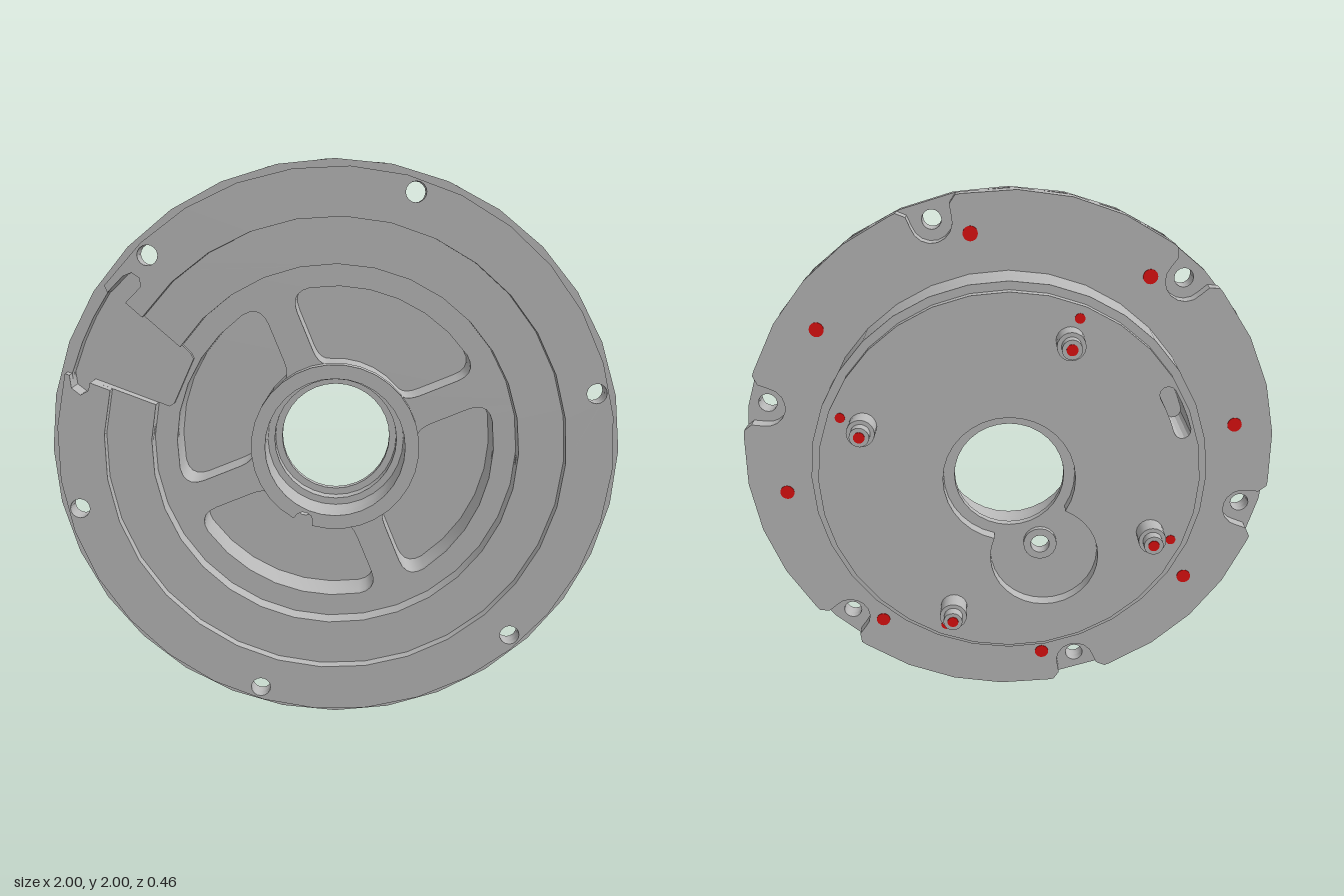
import * as THREE from 'three';
import { toCreasedNormals } from 'three/addons/utils/BufferGeometryUtils.js';

const metal = new THREE.MeshStandardMaterial({ color: 0xb8b8b8 });
metal.name = 'grey metal';
const red = new THREE.MeshStandardMaterial({ color: 0xe01010 });
red.name = 'red thread';

const RAD = Math.PI / 180;
const V = (x, y) => new THREE.Vector2(x, y);
const polar = (r, deg) => V(r * Math.cos(deg * RAD), r * Math.sin(deg * RAD));
const pts = (list) => list.map(([x, y]) => V(x, y));

// Points along an arc, angles in degrees
function arc(r, a0, a1, c = V(0, 0), step = 11.25) {
  const n = Math.max(2, Math.round(Math.abs(a1 - a0) / step));
  return Array.from({ length: n + 1 }, (_, i) => polar(r, a0 + (a1 - a0) * i / n).add(c));
}
const circle = (r, c, step) => arc(r, 0, 360, c, step).slice(0, -1);
const turn = (points, deg) => points.map((p) => p.clone().rotateAround(V(0, 0), deg * RAD));

// Corner rounded by a quadratic curve, without its end points
const corner = (a, b, c) => new THREE.QuadraticBezierCurve(a, b, c).getPoints(5);

// Axis of the cover is z; all positions are relative to its centre
const BOLT_ANGLES = [13, 73, 133, 193, 253, 313];
const PIN_ANGLES = [22, 112, 202, 292];
const BORE_PORT = polar(0.295, 247);

// Flange outline with a U-shaped notch at every bolt
function notchedOutline() {
  const out = [];
  for (const a of BOLT_ANGLES) {
    const notch = [V(0.994, -0.11), V(0.97, -0.08), ...arc(0.075, 270, 90, V(0.93, 0), 22.5), V(0.97, 0.08), V(0.994, 0.11)];
    out.push(...turn(notch, a), ...arc(1, a + 7.5, a + 52.5));
  }
  return out;
}

// Rounded pocket between two spokes, optionally bitten by the port
function pocket(deg, bitten) {
  const s = 0.055;
  const inner = bitten
    ? [...arc(0.295, 72, 52), ...arc(0.035, 135, 315, polar(0.295, 45), 30), ...arc(0.295, 38, 18)]
    : arc(0.295, 72, 18);
  return turn([
    ...arc(0.57, 13, 77),
    ...corner(polar(0.57, 77), V(s, 0.567), V(s, 0.49)),
    ...corner(V(s, 0.35), V(s, 0.29), polar(0.295, 72)),
    ...inner,
    ...corner(polar(0.295, 18), V(0.29, s), V(0.35, s)),
    ...corner(V(0.49, s), V(0.567, s), polar(0.57, 13)),
  ].filter((p, i, l) => i === 0 || p.distanceTo(l[i - 1]) > 1e-4).slice(0, -1), deg);
}

// Curved slot running through the cover
const slot = [
  ...arc(0.675, 150, 163, undefined, 4),
  ...arc(0.03, 163, 343, polar(0.645, 163), 30).slice(1, -1),
  ...arc(0.615, 163, 150, undefined, 4),
  ...arc(0.03, -30, 150, polar(0.645, 150), 30).slice(1, -1),
];

// Keyhole recess on the back: bore circle joined to a lower lobe
const keyhole = [
  ...arc(0.24, 283.2, 571.2),
  ...arc(0.2, 112, 382.4, V(-0.13, -0.31)).slice(1, -1),
];

// Ears of the side cutout in the front rim
const upperEar = pts([[-0.715, 0.52], [-0.66, 0.575], [-0.665, 0.605], [-0.69, 0.622], [-0.72, 0.61], [-0.775, 0.555]]);
const lowerEar = pts([[-0.92, 0.27], [-0.915, 0.225], [-0.885, 0.2], [-0.857, 0.215], [-0.85, 0.243]]);

export function createModel() {
  const model = new THREE.Group();
  const cover = new THREE.Group();
  cover.name = 'cover';
  cover.position.y = 1;
  model.add(cover);

  const add = (name, geometry, material = metal) => {
    const mesh = new THREE.Mesh(geometry, material);
    mesh.name = name;
    cover.add(mesh);
    return mesh;
  };
  // Flat layer between two depths, with holes
  const layer = (name, z0, z1, outline, holes = []) => {
    const shape = new THREE.Shape(outline);
    shape.holes = holes.map((h) => new THREE.Path(h));
    const g = new THREE.ExtrudeGeometry(shape, { depth: z1 - z0, bevelEnabled: false });
    g.translate(0, 0, z0);
    return add(name, toCreasedNormals(g, 0.5));
  };
  // Solid cylinder along z
  const rod = (name, r, z0, z1, at, material = metal) => {
    const g = new THREE.CylinderGeometry(r, r, z1 - z0, 20).rotateX(Math.PI / 2);
    add(name, g, material).position.set(at.x, at.y, (z0 + z1) / 2);
  };

  const port = circle(0.035, BORE_PORT, 22.5);
  const pockets = PIN_ANGLES.map((a) => pocket(a, a === 202));
  const boltHoles = BOLT_ANGLES.map((a) => circle(0.035, polar(0.93, a), 22.5));
  const notched = notchedOutline();

  // Rear boss
  layer('bossFace', -0.11, -0.075, circle(0.69), [keyhole, slot]);
  layer('bossShoulder', -0.075, -0.06, circle(0.72), [keyhole, slot]);
  layer('bossFloor', -0.06, -0.03, circle(0.72), [circle(0.2), port, slot]);
  layer('spokes', -0.03, 0.1, circle(0.72), [circle(0.25), slot, ...pockets]);
  layer('boreRidge', -0.03, 0.02, circle(0.252), [circle(0.225)]);
  layer('portCollar', -0.08, -0.06, circle(0.062, BORE_PORT, 18), [port]);

  // Hub ring with a bite for the port
  layer('hub', 0.12, 0.17, [
    ...arc(0.3, 254, 600),
    ...arc(0.035, 157, -23, BORE_PORT, 30),
  ], [circle(0.25)]);

  // Flange, stacked from back to front
  layer('flangeBack', 0.1, 0.12, notched, [circle(0.25), slot, ...pockets]);
  const ringArc = arc(0.65, 165.8, 506);
  layer('flangeCutoutFloor', 0.12, 0.14, notched.concat(), [
    [...ringArc, V(-0.51, 0.335), V(-0.5, 0.315), V(-0.573, 0.155), V(-0.59, 0.144)],
  ].slice(0, 1));
  const cutoutRing = [...ringArc, ...upperEar, ...arc(0.957, 145, 162.5, undefined, 6), ...lowerEar];
  layer('flangeMiddle', 0.14, 0.155, notched, [cutoutRing]);
  layer('flangeFront', 0.155, 0.19, circle(1), [cutoutRing, ...boltHoles]);
  layer('raisedRim', 0.19, 0.23, [
    ...arc(0.975, 163.6, 503.6),
    ...upperEar.slice().reverse(),
    ...arc(0.81, 504.5, 164.5),
    ...lowerEar.slice().reverse(),
  ], boltHoles);

  // Locating pins and small threaded holes on the boss
  for (const a of PIN_ANGLES) {
    const p = polar(0.56, a);
    rod('pinBase', 0.05, -0.187, -0.105, p);
    rod('pinTip', 0.035, -0.226, -0.18, p);
    rod('pinThread', 0.02, -0.229, -0.224, p, red);
    rod('bossThread', 0.018, -0.113, -0.107, polar(0.645, a), red);
  }
  // Threaded holes on the back of the flange
  for (let i = 0; i < 8; i++) rod('flangeThread', 0.027, 0.097, 0.103, polar(0.86, 81 + 45 * i), red);

  return model;
}
